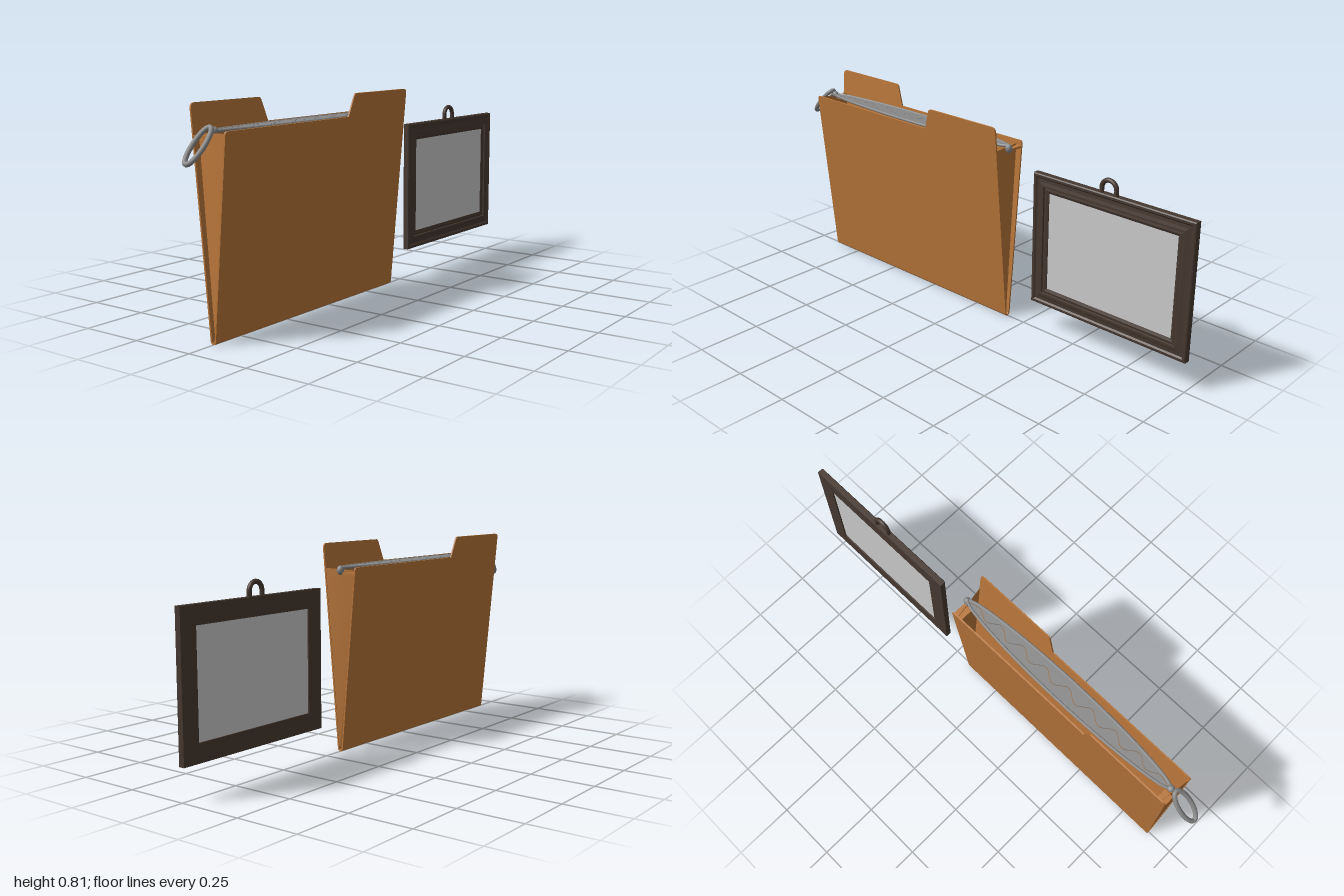
import * as THREE from 'three';

const mat = (name, color) => {
  const m = new THREE.MeshStandardMaterial({ color });
  m.name = name;
  return m;
};

export function createModel() {
  const orange = mat('orange card', 0xb8763a);
  const orangeThin = mat('orange gusset card', 0xb8763a);
  orangeThin.side = THREE.DoubleSide;
  const metal = mat('grey metal', 0x888888);
  const wood = mat('dark brown wood', 0x463830);
  const glass = mat('pale grey glass', 0xcacaca);

  const add = (parent, name, geo, material, x = 0, y = 0, z = 0) => {
    const m = new THREE.Mesh(geo, material);
    m.name = name;
    m.position.set(x, y, z);
    parent.add(m);
    return m;
  };

  const root = new THREE.Group();
  const folder = new THREE.Group();
  folder.name = 'folder';
  folder.position.x = -0.36;
  root.add(folder);

  // Tabbed cover, used for both sides by a half turn
  const W = 0.525, low = 0.717, high = 0.804;
  const s = new THREE.Shape();
  s.moveTo(-W, 0);
  s.lineTo(W, 0);
  s.lineTo(W, high - 0.02);
  s.quadraticCurveTo(W, high, W - 0.02, high);
  s.lineTo(0.185, high);
  s.quadraticCurveTo(0.175, high, 0.172, high - 0.01);
  s.lineTo(0.145, low);
  s.lineTo(-W + 0.012, low);
  s.quadraticCurveTo(-W, low, -W, low - 0.012);
  const coverGeo = new THREE.ExtrudeGeometry(s, { depth: 0.006, bevelEnabled: false, curveSegments: 6 });
  for (const side of ['front', 'back']) {
    const half = new THREE.Group();
    half.name = side + 'Half';
    if (side === 'back') half.rotation.y = Math.PI;
    const cover = add(half, side + 'Cover', coverGeo, orange, 0, 0.012, 0.006);
    cover.rotation.x = 0.0895;
    folder.add(half);
  }

  // Rounded fold along the bottom
  const u = new THREE.Shape();
  u.absarc(0, 0, 0.012, Math.PI, Math.PI * 2, false);
  u.absarc(0, 0, 0.006, Math.PI * 2, Math.PI, true);
  const foldGeo = new THREE.ExtrudeGeometry(u, { depth: 2 * W, bevelEnabled: false, curveSegments: 8 });
  foldGeo.translate(0, 0, -W);
  add(folder, 'bottomFold', foldGeo, orange, 0, 0.012, 0).rotation.y = Math.PI / 2;

  // End gussets, slanting slightly inwards towards the back
  for (const e of [1, -1]) {
    const g = new THREE.BufferGeometry();
    const x0 = e * (W - 0.002), x1 = e * (W - 0.025);
    g.setAttribute('position', new THREE.Float32BufferAttribute([
      x0, 0.012, 0.008, x1, 0.012, 0.003, x1, 0.712, -0.067, x0, 0.718, 0.07,
    ], 3));
    g.setIndex(e > 0 ? [0, 1, 2, 0, 2, 3] : [0, 2, 1, 0, 3, 2]);
    g.computeVertexNormals();
    add(folder, 'gusset', g, orangeThin);
    add(folder, 'gussetFlap', new THREE.BoxGeometry(0.04, 0.008, 0.055), orange, e * (W - 0.022), 0.702, -0.041);
  }

  // Clasp: two bowed jaws with meshing wavy teeth
  const clasp = new THREE.Group();
  clasp.name = 'clasp';
  clasp.position.set(0.01, 0.722, 0);
  folder.add(clasp);
  const L = 0.515, N = 108;
  const bow = t => 0.045 * Math.pow(Math.max(0, 1 - t * t), 0.6);
  const wave = t => Math.min(0.015, bow(t) * 0.5) * Math.cos(t * Math.PI * 9);
  for (const side of [1, -1]) {
    const outer = [], inner = [];
    for (let i = 0; i <= N; i++) {
      const t = -1 + 2 * i / N;
      outer.push(new THREE.Vector2(t * L, side * bow(t)));
      const gap = Math.min(0.0015, bow(t) * 0.1);
      inner.push(new THREE.Vector2(t * L, wave(t) + side * gap));
    }
    const jaw = new THREE.ExtrudeGeometry(
      new THREE.Shape([...outer, ...inner.slice(1, -1).reverse()]), { depth: 0.006, bevelEnabled: false });
    jaw.rotateX(Math.PI / 2);
    add(clasp, 'toothedJaw', jaw, metal, 0, 0.003, 0);
    const rim = new THREE.CatmullRomCurve3(
      outer.filter((p, i) => i % 4 === 0).map(p => new THREE.Vector3(p.x, 0, p.y)));
    add(clasp, 'jawRim', new THREE.TubeGeometry(rim, 60, 0.006, 8), metal);
  }

  // Hinge knobs at both ends of the clasp
  add(clasp, 'rightKnob', new THREE.SphereGeometry(0.014, 16, 12), metal, L - 0.004, -0.01, 0).scale.y = 1.3;
  add(clasp, 'leftKnob', new THREE.SphereGeometry(0.014, 16, 12), metal, -L + 0.008, 0, 0);

  // Oval pull ring, hanging out at a slant
  class Oval extends THREE.Curve {
    getPoint(t, v = new THREE.Vector3()) {
      const a = t * Math.PI * 2;
      return v.set(0.079 * Math.cos(a), 0, 0.027 * Math.sin(a));
    }
  }
  add(folder, 'pullRing', new THREE.TubeGeometry(new Oval(), 48, 0.009, 10, true), metal,
    -0.573, 0.68, 0).rotation.z = Math.PI / 4;

  // Picture frame: a moulded profile carried round a rectangle
  const frame = new THREE.Group();
  frame.name = 'pictureFrame';
  frame.position.set(0.648, 0.388, 0);
  root.add(frame);
  const FW = 0.352, FH = 0.267;
  const profile = [[0, -0.013], [0, 0.01], [0.004, 0.013], [0.012, 0.013], [0.018, 0.008], [0.03, 0.009],
    [0.042, 0.012], [0.049, 0.012], [0.051, 0.006], [0.06, 0.008], [0.07, 0.004], [0.07, -0.013]];
  const corners = [[1, 1], [-1, 1], [-1, -1], [1, -1]];
  const at = ([d, z], [cx, cy]) => [cx * (FW - d), cy * (FH - d), z];
  const geo = new THREE.BufferGeometry(), pos = [];
  profile.forEach((p, i) => {
    const q = profile[(i + 1) % profile.length];
    corners.forEach((c, j) => {
      const n = corners[(j + 1) % 4];
      const [A, B, C, D] = [at(p, c), at(p, n), at(q, n), at(q, c)];
      pos.push(...A, ...B, ...C, ...A, ...C, ...D);
    });
  });
  geo.setAttribute('position', new THREE.Float32BufferAttribute(pos, 3));
  geo.computeVertexNormals();
  add(frame, 'frameMoulding', geo, wood);
  add(frame, 'picturePane', new THREE.BoxGeometry(2 * (FW - 0.069), 2 * (FH - 0.069), 0.009), glass, 0, 0, -0.003);

  // Hanging loop on top of the frame
  const loop = new THREE.CurvePath();
  const r = 0.032, y0 = FH - 0.004, y1 = FH + 0.019;
  const pts = [new THREE.Vector3(-r, y0, 0)];
  for (let i = 0; i <= 12; i++) {
    const a = Math.PI * (1 - i / 12);
    pts.push(new THREE.Vector3(r * Math.cos(a), y1 + r * Math.sin(a), 0));
  }
  pts.push(new THREE.Vector3(r, y0, 0));
  add(frame, 'hangingLoop', new THREE.TubeGeometry(new THREE.CatmullRomCurve3(pts), 32, 0.009, 10), wood,
    -0.015, 0, 0);

  return root;
}
